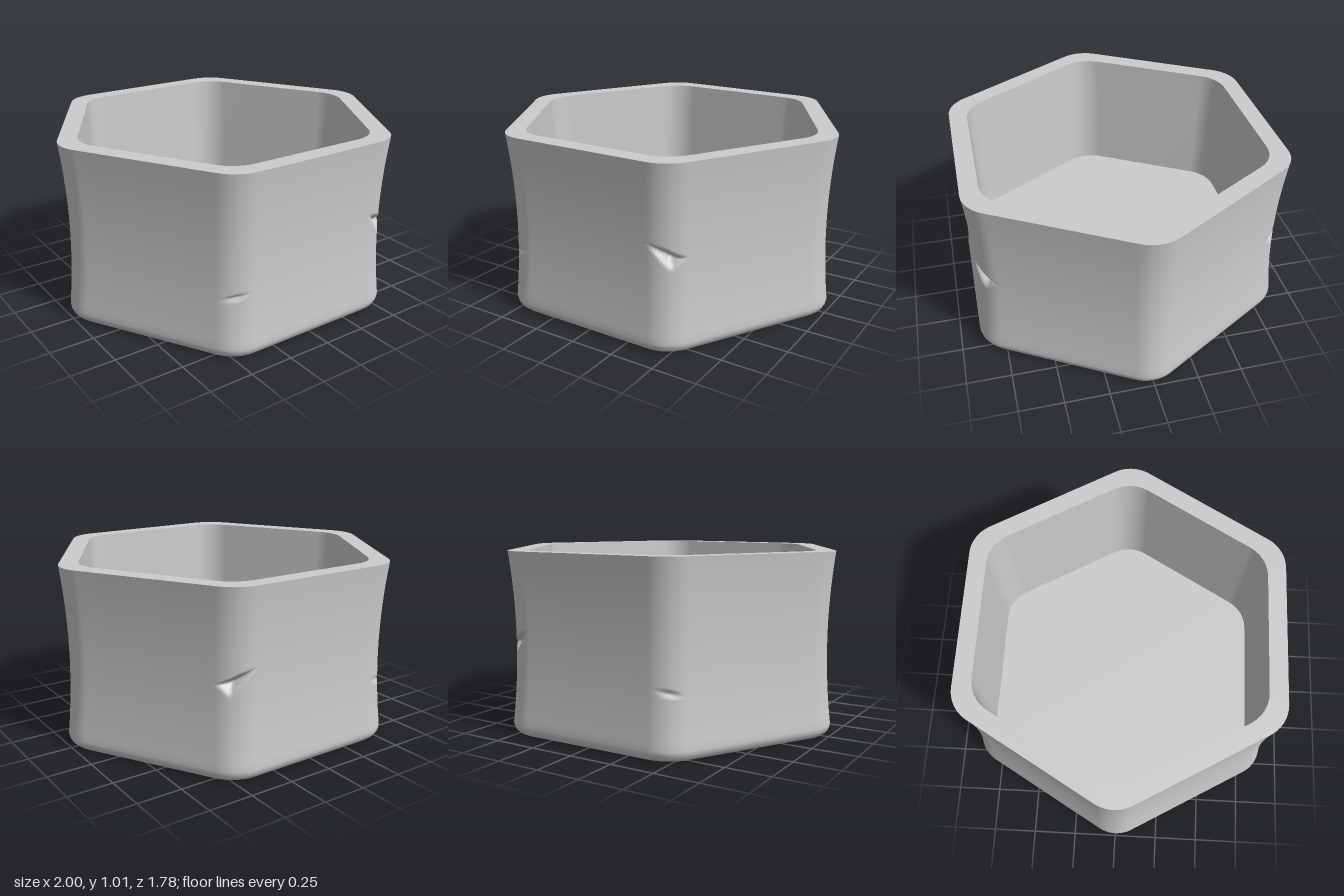
import * as THREE from 'three';

const material = new THREE.MeshStandardMaterial({ color: 0xcccccc, side: THREE.DoubleSide });

// Outline of a rounded hexagon; corners point along +x / -x
function hexRing(apothem, arcSteps, flatSteps) {
  const r = Math.min(0.2, apothem), d = (apothem - r) / Math.cos(Math.PI / 6);
  const corner = (k, s) => {
    const t = k * Math.PI / 3, phi = t + (s - 0.5) * Math.PI / 3;
    return [d * Math.cos(t) + r * Math.cos(phi), d * Math.sin(t) + r * Math.sin(phi)];
  };
  const points = [];
  for (let k = 0; k < 6; k++) {
    for (let i = 0; i <= arcSteps; i++) points.push(corner(k, i / arcSteps));
    const a = corner(k, 1), b = corner(k + 1, 0);
    for (let i = 1; i < flatSteps; i++) {
      const t = i / flatSteps;
      points.push([a[0] + (b[0] - a[0]) * t, a[1] + (b[1] - a[1]) * t]);
    }
  }
  return points;
}

// Surface through hexagonal rings given as [apothem, y]; inset(x, y) pushes it inward
function loft(name, rings, arcSteps = 6, flatSteps = 1, inset = () => 0) {
  const positions = [], index = [];
  let n = 0;
  for (const [apothem, y] of rings) {
    const ring = hexRing(apothem, arcSteps, flatSteps);
    n = ring.length;
    for (const [x, z] of ring) {
      const s = 1 - inset(x, y);
      positions.push(x * s, y, z * s);
    }
  }
  for (let j = 0; j < rings.length - 1; j++) {
    for (let i = 0; i < n; i++) {
      const a = j * n + i, b = j * n + (i + 1) % n;
      index.push(a, a + n, b, b, a + n, b + n);
    }
  }
  const geometry = new THREE.BufferGeometry();
  geometry.setAttribute('position', new THREE.Float32BufferAttribute(positions, 3));
  geometry.setIndex(index);
  geometry.computeVertexNormals();
  const mesh = new THREE.Mesh(geometry, material);
  mesh.name = name;
  return mesh;
}

// Pyramid-shaped nick: convex outline in x and y (clockwise) with a deepest point
function nick(outline, apex, depth) {
  const side = (a, b, p) => (b[1] - a[1]) * (p[0] - a[0]) - (b[0] - a[0]) * (p[1] - a[1]);
  return (x, y) => {
    let m = 1;
    outline.forEach((a, i) => {
      const b = outline[(i + 1) % outline.length];
      m = Math.min(m, side(a, b, [x, y]) / side(a, b, apex));
    });
    return Math.max(0, m) * depth;
  };
}

export function createModel() {
  const group = new THREE.Group();
  group.name = 'hexagonalPot';
  const height = 1.015, floorY = 0.29;

  // Nicks on the corners, the same on front and back
  const largeNick = nick([[0.385, 0.595], [0.47, 0.573], [0.555, 0.515], [0.505, 0.455]], [0.495, 0.52], 0.06);
  const smallNick = nick([[-0.55, 0.33], [-0.53, 0.352], [-0.48, 0.368], [-0.405, 0.37], [-0.46, 0.33], [-0.52, 0.318]],
    [-0.49, 0.35], 0.015);

  // Waisted outer wall with a rounded foot, finer rows around the nicks
  const rings = [[0.84, 0], [0.86, 0.006], [0.875, 0.02], [0.884, 0.04]];
  for (let y = 0.06; y < height - 0.02; y += y > 0.28 && y < 0.62 ? 0.008 : 0.04) rings.push([0, y]);
  rings.push([0, height]);
  for (const ring of rings) {
    if (ring[0] === 0) ring[0] = 0.861 + 0.03 * ((ring[1] - 0.52) / 0.49) ** 2;
  }
  group.add(loft('outerWall', rings, 16, 40, (x, y) => largeNick(x, y) + smallNick(x, y)));

  // Rim, tapered inside and floor
  group.add(loft('topRim', [[0.891, height], [0.79, height]]));
  group.add(loft('innerWall', [[0.79, height], [0.765, floorY]]));
  group.add(loft('floor', [[0.765, floorY], [0, floorY]]));

  // Hollow underside
  group.add(loft('undersideFloor', [[0, floorY - 0.01], [0.765, floorY - 0.01]]));
  group.add(loft('recessWall', [[0.765, floorY - 0.01], [0.815, 0]]));
  group.add(loft('footRim', [[0.815, 0], [0.84, 0]]));
  return group;
}
